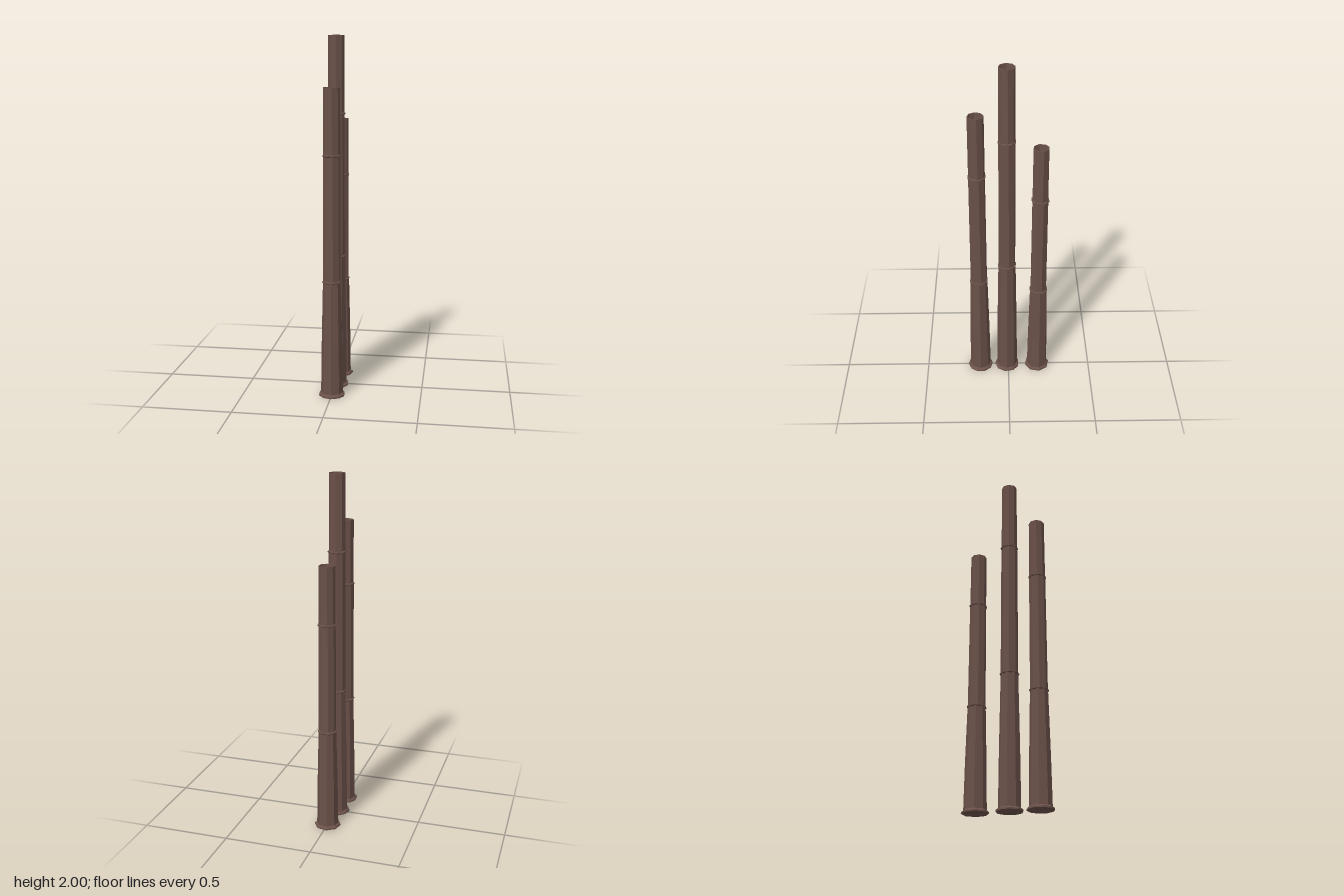
import * as THREE from 'three';

const bark = new THREE.MeshStandardMaterial({ color: 0x6a5049 });
bark.name = 'darkBrown';

// Faceted solid of revolution from [radius, height] pairs
function turned(name, profile, sides, turn) {
  const points = profile.map(([r, y]) => new THREE.Vector2(r, y));
  const geometry = new THREE.LatheGeometry(points, sides).toNonIndexed();
  geometry.computeVertexNormals();
  const mesh = new THREE.Mesh(geometry, bark);
  mesh.name = name;
  mesh.rotation.y = turn;
  return mesh;
}

// Hollow-topped cane: flared foot, tapered lower length, two thin joints
function cane(name, z, height, joints, footSides, turn) {
  const [low, high] = joints;
  const group = new THREE.Group();
  group.name = name;
  group.position.z = z;

  group.add(turned('foot', [
    [0, 0], [0.074, 0], [0.074, 0.008], [0.062, 0.018], [0, 0.018],
  ], footSides, turn));
  group.add(turned('lowerLength', [
    [0.062, 0.012], [0.058, low * 0.45], [0.05, low],
  ], 8, turn));
  group.add(turned('middleLength', [
    [0.049, low], [0.047, high],
  ], 8, turn + 0.2));
  group.add(turned('upperLength', [
    [0.046, high], [0.045, height], [0.04, height], [0.036, height - 0.04], [0, height - 0.04],
  ], 8, turn + 0.1));

  // Raised rings at the joints
  joints.forEach((y, i) => {
    const r = i ? 0.047 : 0.05;
    group.add(turned(i ? 'upperJoint' : 'lowerJoint', [
      [r - 0.004, y - 0.01], [r + 0.005, y - 0.003], [r + 0.005, y + 0.003], [r - 0.005, y + 0.008],
    ], 8, turn + 0.3));
  });
  return group;
}

export function createModel() {
  const model = new THREE.Group();
  model.name = 'caneRow';
  model.add(
    cane('frontCane', 0.173, 1.725, [0.66, 1.36], 10, 0.05),
    cane('middleCane', 0.008, 2, [0.77, 1.575], 9, 0.0),
    cane('backCane', -0.177, 1.535, [0.59, 1.21], 8, 0.18),
  );
  return model;
}
